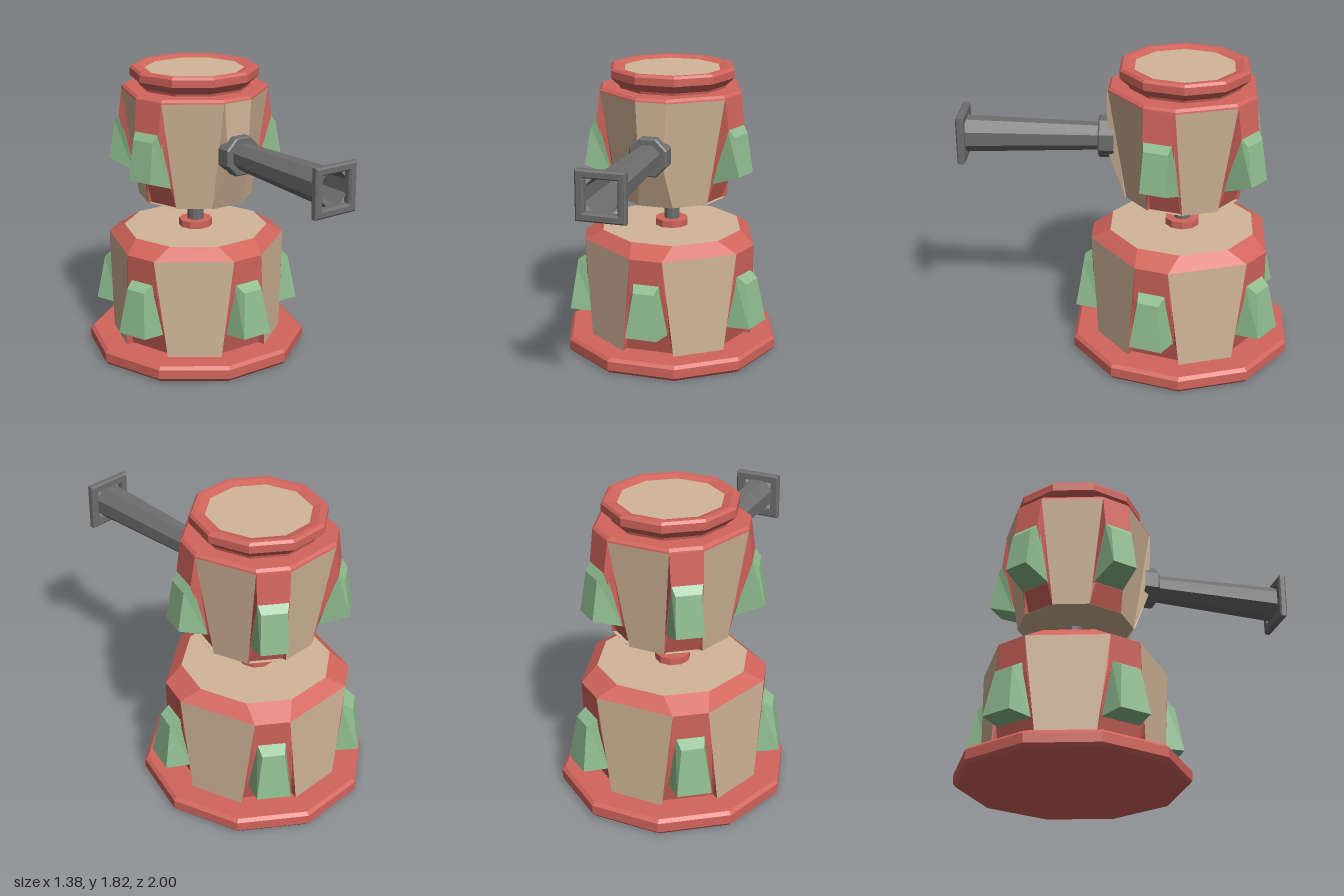
import * as THREE from 'three';

const mat = (color) => new THREE.MeshStandardMaterial({ color, flatShading: true, side: THREE.DoubleSide });
const red = mat(0xd2655c), tan = mat(0xd2b598), green = mat(0x8fbc8f), grey = mat(0x6e6e6e);
const rad = THREE.MathUtils.degToRad, lerp = THREE.MathUtils.lerp;
const STEP = 72;

// Skin a list of rows of [x, y, z] points, lowest row first.
function loft(rows, { closed = true, bottom = false, top = false } = {}) {
  const pos = [], n = rows[0].length;
  const tri = (a, b, c) => pos.push(...a, ...b, ...c);
  for (let r = 0; r < rows.length - 1; r++) {
    for (let i = 0; i < (closed ? n : n - 1); i++) {
      const j = (i + 1) % n, lo = rows[r], hi = rows[r + 1];
      tri(lo[i], lo[j], hi[j]);
      tri(lo[i], hi[j], hi[i]);
    }
  }
  const last = rows[rows.length - 1];
  for (let i = 1; i < n - 1; i++) {
    if (bottom) tri(rows[0][0], rows[0][i + 1], rows[0][i]);
    if (top) tri(last[0], last[i], last[i + 1]);
  }
  const g = new THREE.BufferGeometry();
  g.setAttribute('position', new THREE.Float32BufferAttribute(pos, 3));
  g.computeVertexNormals();
  return g;
}

const polar = (r, deg, y) => [r * Math.sin(rad(deg)), y, r * Math.cos(rad(deg))];

// Regular polygon ring with a flat side to the front.
const ring = (r, y, n = 10) => Array.from({ length: n }, (_, i) => polar(r, (i + 0.5) * 360 / n, y));

// Ring with five pairs of corners, each pair set "a" degrees either side of a fin.
function pairRing(r, a, y) {
  const pts = [];
  for (let k = 0; k < 5; k++) pts.push(polar(r, k * STEP + a, y), polar(r, (k + 1) * STEP - a, y));
  return pts;
}

function add(parent, name, geometry, material) {
  const m = new THREE.Mesh(geometry, material);
  m.name = name;
  parent.add(m);
  return m;
}

const turned = (parent, name, profile, material, n = 10, caps = {}) =>
  add(parent, name, loft(profile.map(([r, y]) => ring(r, y, n)), caps), material);

// Faceted drum: five wide panels with five sunken strips between them.
// lo and hi are { y, r, a }; strip rows are [y, half width, distance out].
function drum(parent, name, lo, hi, stripRows, frontRows) {
  const strip = (rows) => loft(rows.map(([y, hw, out]) => {
    const t = (y - lo.y) / (hi.y - lo.y);
    const ex = lerp(lo.r * Math.sin(rad(lo.a)), hi.r * Math.sin(rad(hi.a)), t);
    const ez = lerp(lo.r * Math.cos(rad(lo.a)), hi.r * Math.cos(rad(hi.a)), t);
    return [[-ex, y, ez], [-hw, y, out], [hw, y, out], [ex, y, ez]];
  }), { closed: false });
  for (let k = 0; k < 5; k++) {
    const panel = [lo, hi].map(({ y, r, a }) => [polar(r, k * STEP + a, y), polar(r, (k + 1) * STEP - a, y)]);
    add(parent, name + 'Panel', loft(panel, { closed: false }), tan);
    const front = k === 0 && frontRows;
    const s = add(parent, name + 'Strip', strip(front ? frontRows : stripRows), front ? tan : red);
    s.rotation.y = rad(k * STEP);
  }
}

// Tapered fin: outlines are [top y, bottom y], [top, bottom] half widths and distances out.
function fin(parent, name, k, back, face) {
  const outline = ([yt, yb, wt, wb, ot, ob]) => [[-wb, yb, ob], [wb, yb, ob], [wt, yt, ot], [-wt, yt, ot]];
  const m = add(parent, name, loft([outline(back), outline(face)], { top: true, bottom: true }), green);
  m.rotation.y = rad(k * STEP);
}

export function createModel() {
  const model = new THREE.Group();
  const tower = new THREE.Group();
  tower.name = 'tower';
  tower.position.z = -0.342;
  model.add(tower);

  // Foot plate
  turned(tower, 'footPlate', [[0.672, 0], [0.69, 0.02], [0.69, 0.078], [0.67, 0.097]], red, 10, { top: true, bottom: true });

  // Lower drum, shoulder and deck
  drum(tower, 'lowerDrum', { y: 0.09, r: 0.534, a: 18 }, { y: 0.72, r: 0.56, a: 10.5 },
    [[0.09, 0.15, 0.46], [0.25, 0.135, 0.505], [0.5, 0.115, 0.54], [0.72, 0.102, 0.55]]);
  add(tower, 'lowerShoulder', loft([pairRing(0.56, 10.5, 0.72), pairRing(0.452, 17, 0.79)]), red);
  add(tower, 'lowerDeck', loft([pairRing(0.452, 17, 0.789), pairRing(0.452, 17, 0.79)], { top: true }), tan);
  for (let k = 0; k < 5; k++) {
    fin(tower, 'lowerFin', k, [0.57, 0.235, 0.085, 0.125, 0.53, 0.5], [0.525, 0.247, 0.065, 0.1, 0.605, 0.652]);
  }

  // Swivel collar and post
  turned(tower, 'collar', [[0.105, 0.785], [0.105, 0.833]], red, 10, { top: true });
  turned(tower, 'post', [[0.05, 0.8], [0.05, 1.05]], grey);

  // Upper drum, floor and rim
  const lo = { y: 1, r: 0.354, a: 18 }, hi = { y: 1.67, r: 0.455, a: 12 };
  drum(tower, 'upperDrum', lo, hi,
    [[1, 0.095, 0.315], [1.13, 0.09, 0.365], [1.48, 0.09, 0.47], [1.67, 0.094, 0.445]],
    [[1, 0.109, 0.345], [1.28, 0.075, 0.45], [1.67, 0.094, 0.45]]);
  add(tower, 'upperFloor', loft([pairRing(lo.r, lo.a, 1), pairRing(lo.r, lo.a, 1.001)], { bottom: true }), tan);
  add(tower, 'upperRim', loft([pairRing(0.457, 12, 1.665), pairRing(0.455, 12, 1.675), pairRing(0.438, 12, 1.69)],
    { top: true }), red);
  for (let k = 1; k < 5; k++) {
    fin(tower, 'upperFin', k, [1.495, 1.135, 0.09, 0.1, 0.46, 0.37], [1.44, 1.2, 0.073, 0.08, 0.505, 0.545]);
  }

  // Lid
  turned(tower, 'lidRing', [[0.335, 1.685], [0.34, 1.705], [0.395, 1.755], [0.395, 1.8], [0.382, 1.815],
    [0.355, 1.815], [0.305, 1.8]], red);
  turned(tower, 'lidTop', [[0.305, 1.795], [0.305, 1.8]], tan, 10, { top: true });

  // Barrel, built upright along y then tipped to point forward
  const barrel = new THREE.Group();
  barrel.name = 'barrel';
  barrel.position.y = 1.35;
  barrel.rotation.x = Math.PI / 2;
  model.add(barrel);
  const oct = (h) => h / Math.cos(Math.PI / 8);
  const sq = (h) => h * Math.SQRT2;
  turned(barrel, 'barrelMount', [[oct(0.117), 0.07], [oct(0.117), 0.155], [oct(0.108), 0.165], [oct(0.07), 0.165]], grey, 8);
  turned(barrel, 'barrelTube', [[oct(0.075), 0.1], [oct(0.102), 0.965]], grey, 8);
  turned(barrel, 'barrelBore', [[oct(0.066), 0.12], [oct(0.095), 0.965]], grey, 8);
  turned(barrel, 'muzzle', [[sq(0.095), 0.953], [sq(0.135), 0.953], [sq(0.145), 0.962], [sq(0.145), 0.99],
    [sq(0.135), 1], [sq(0.105), 1], [sq(0.095), 0.985], [sq(0.095), 0.953]], grey, 4);

  // Pin at the inner end of the bore
  const pin = add(barrel, 'borePin', new THREE.BoxGeometry(0.1, 0.06, 0.09), grey);
  pin.position.set(0, 0.12, 0.03);

  return model;
}
